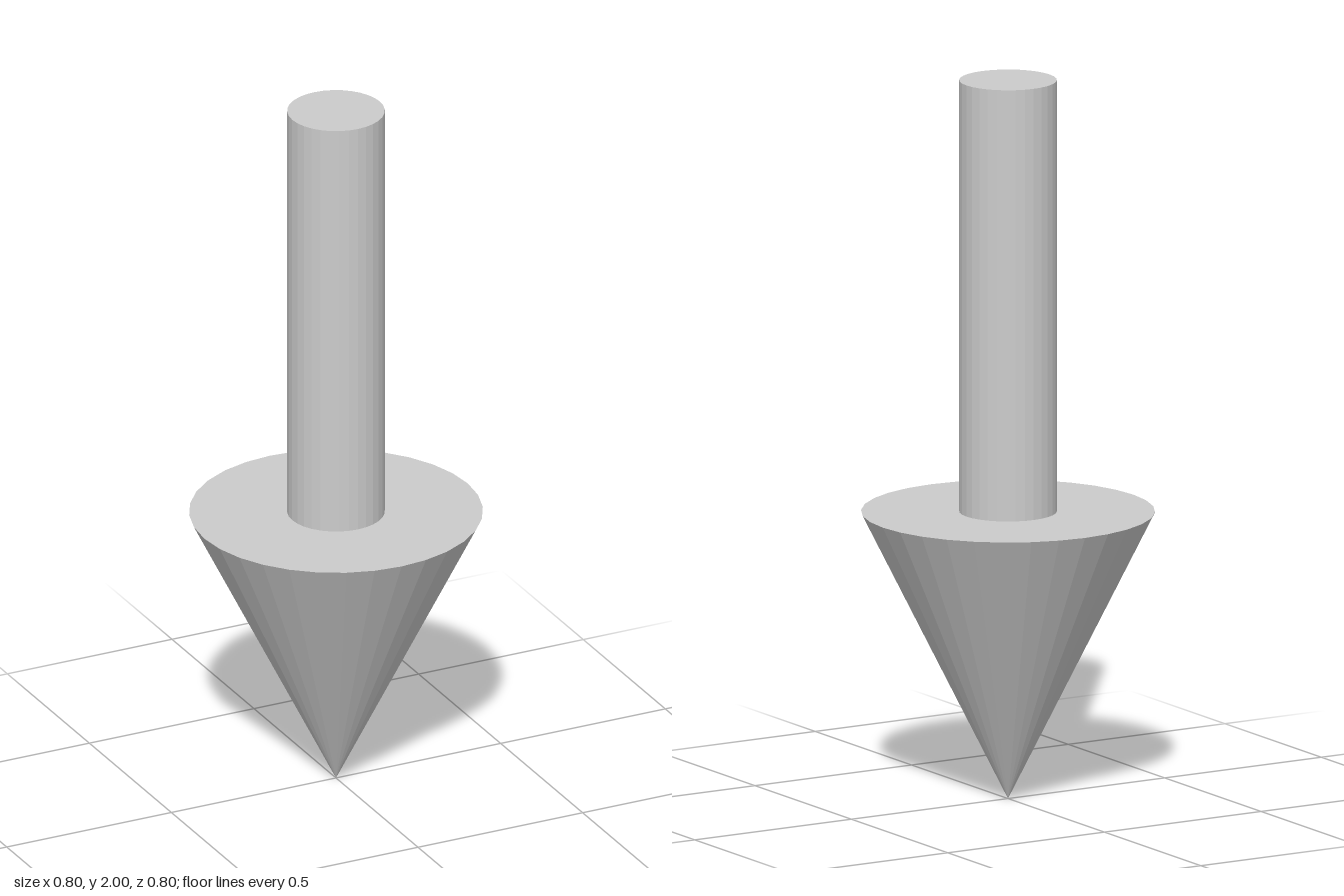
import * as THREE from 'three';

const SIDES = 32;

export function createModel() {
  const group = new THREE.Group();
  group.name = 'downArrow';
  const material = new THREE.MeshStandardMaterial({ color: 0xcccccc, flatShading: true });

  // Pointed head: a cone turned upside down, tip on the ground
  const head = new THREE.Mesh(new THREE.ConeGeometry(0.4, 0.8, SIDES), material);
  head.name = 'arrowHead';
  head.rotation.x = Math.PI;
  head.position.y = 0.4;

  // Round shaft standing on the flat base of the head
  const shaft = new THREE.Mesh(new THREE.CylinderGeometry(0.133, 0.133, 1.2, SIDES), material);
  shaft.name = 'arrowShaft';
  shaft.position.y = 1.4;

  group.add(head, shaft);
  return group;
}
